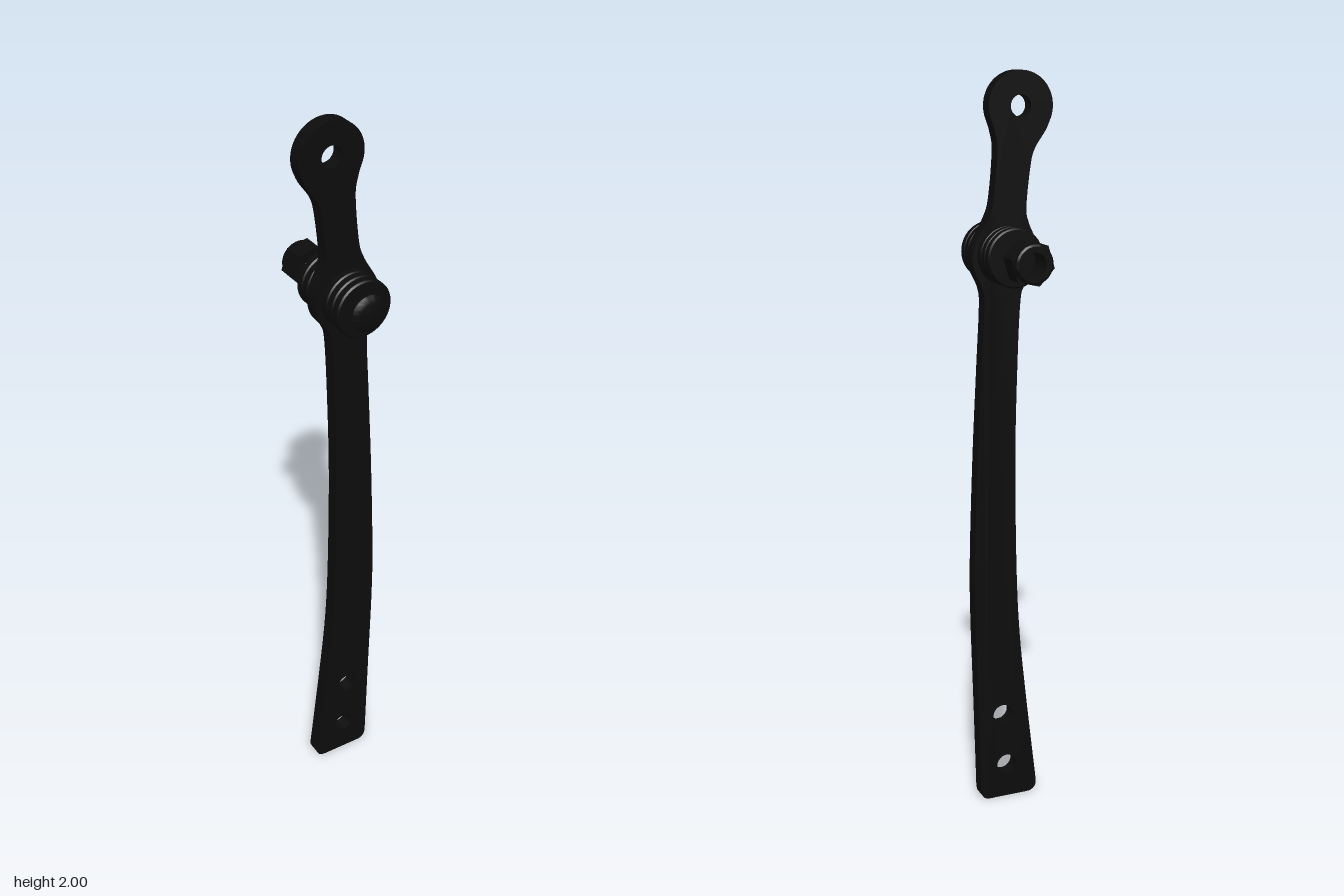
import * as THREE from 'three';
import { toCreasedNormals } from 'three/addons/utils/BufferGeometryUtils.js';

const PIVOT_X = 0.02, PIVOT_Y = 1.533;
const v = (x, y) => new THREE.Vector2(x, y);

export function createModel() {
  const model = new THREE.Group();
  model.name = 'lever';
  const black = new THREE.MeshStandardMaterial({ color: 0x0c0c0c });
  black.name = 'black';

  const add = (name, geometry, parent = model) => {
    const mesh = new THREE.Mesh(geometry, black);
    mesh.name = name;
    parent.add(mesh);
    return mesh;
  };
  // Turned part around the pivot; profile is [radius, z] running up the outside
  const turned = (name, profile, parent, segments = 40) => {
    const g = new THREE.LatheGeometry(profile.map(([r, z]) => v(r, z)), segments);
    g.rotateX(Math.PI / 2);
    return add(name, toCreasedNormals(g, 0.5), parent);
  };
  const hole = (x, y, r) => new THREE.Path().absarc(x, y, r, 0, Math.PI * 2, true);

  // Flat lever arm: round eye, narrow neck, pivot boss, long curved blade
  const arm = new THREE.Shape();
  arm.moveTo(-0.045, 0.005);
  arm.lineTo(0.07, 0.005);
  arm.quadraticCurveTo(0.092, 0.006, 0.094, 0.035);
  arm.splineThru([
    v(0.101, 0.3), v(0.108, 0.55), v(0.108, 0.72), v(0.098, 1.0), v(0.085, 1.25),
    v(0.077, 1.4), v(0.081, 1.45), v(0.103, 1.5), v(0.109, 1.535), v(0.1, 1.57),
    v(0.066, 1.63), v(0.05, 1.68), v(0.039, 1.8), v(0.046, 1.85), v(0.055, 1.877),
  ]);
  arm.absarc(-0.026, 1.912, 0.088, -0.41, Math.PI + 0.41, false);
  arm.splineThru([
    v(-0.094, 1.85), v(-0.064, 1.805), v(-0.052, 1.76), v(-0.041, 1.66), v(-0.047, 1.62),
    v(-0.068, 1.57), v(-0.072, 1.53), v(-0.062, 1.493), v(-0.035, 1.455), v(-0.024, 1.41),
    v(-0.016, 1.25), v(-0.01, 1.0), v(-0.013, 0.7), v(-0.022, 0.5), v(-0.042, 0.3),
    v(-0.073, 0.035),
  ]);
  arm.quadraticCurveTo(-0.073, 0.006, -0.045, 0.005);
  arm.holes.push(
    hole(-0.026, 1.912, 0.028),
    hole(0.028, 0.255, 0.028),
    hole(0.017, 0.102, 0.028),
    hole(PIVOT_X, PIVOT_Y, 0.032),
  );
  const armGeometry = new THREE.ExtrudeGeometry(arm, { depth: 0.039, bevelEnabled: false, curveSegments: 64 });
  // Stand the blade exactly on the ground
  armGeometry.translate(0, -0.005, 0.024);
  add('leverArm', toCreasedNormals(armGeometry, 0.5));

  const pivot = new THREE.Group();
  pivot.name = 'pivot';
  pivot.position.set(PIVOT_X, PIVOT_Y, 0);
  model.add(pivot);

  // Three stacked washers on each side of the arm
  const R = 0.0765, H = 0.026, C = 0.004;
  [-0.053, -0.0275, -0.002, 0.0625, 0.088, 0.1135].forEach((z, i) => {
    turned(`washer${i + 1}`, [
      [0.032, z], [R - C, z], [R, z + C], [R, z + H - C], [R - C, z + H], [0.032, z + H], [0.032, z],
    ], pivot);
  });

  // Bolt with a countersunk head at the front
  turned('bolt', [
    [0, -0.053], [0.032, -0.053], [0.032, 0.139], [0.049, 0.155],
    [0.049, 0.161], [0.042, 0.167], [0.031, 0.171], [0, 0.171],
  ], pivot);

  // Loose hexagonal nut behind, with a round locking collar
  const hex = new THREE.Shape(Array.from({ length: 6 }, (_, i) => {
    const a = (13 + i * 60) * Math.PI / 180;
    return v(0.0595 * Math.cos(a), 0.0595 * Math.sin(a));
  }));
  hex.holes.push(hole(0, 0, 0.03));
  const nut = new THREE.ExtrudeGeometry(hex, { depth: 0.056, bevelEnabled: false, curveSegments: 16 });
  nut.translate(0, 0, -0.16);
  add('nut', nut, pivot);
  turned('nutCollar', [
    [0.03, -0.174], [0.045, -0.174], [0.05, -0.17], [0.0515, -0.16], [0.03, -0.16], [0.03, -0.174],
  ], pivot);

  return model;
}
